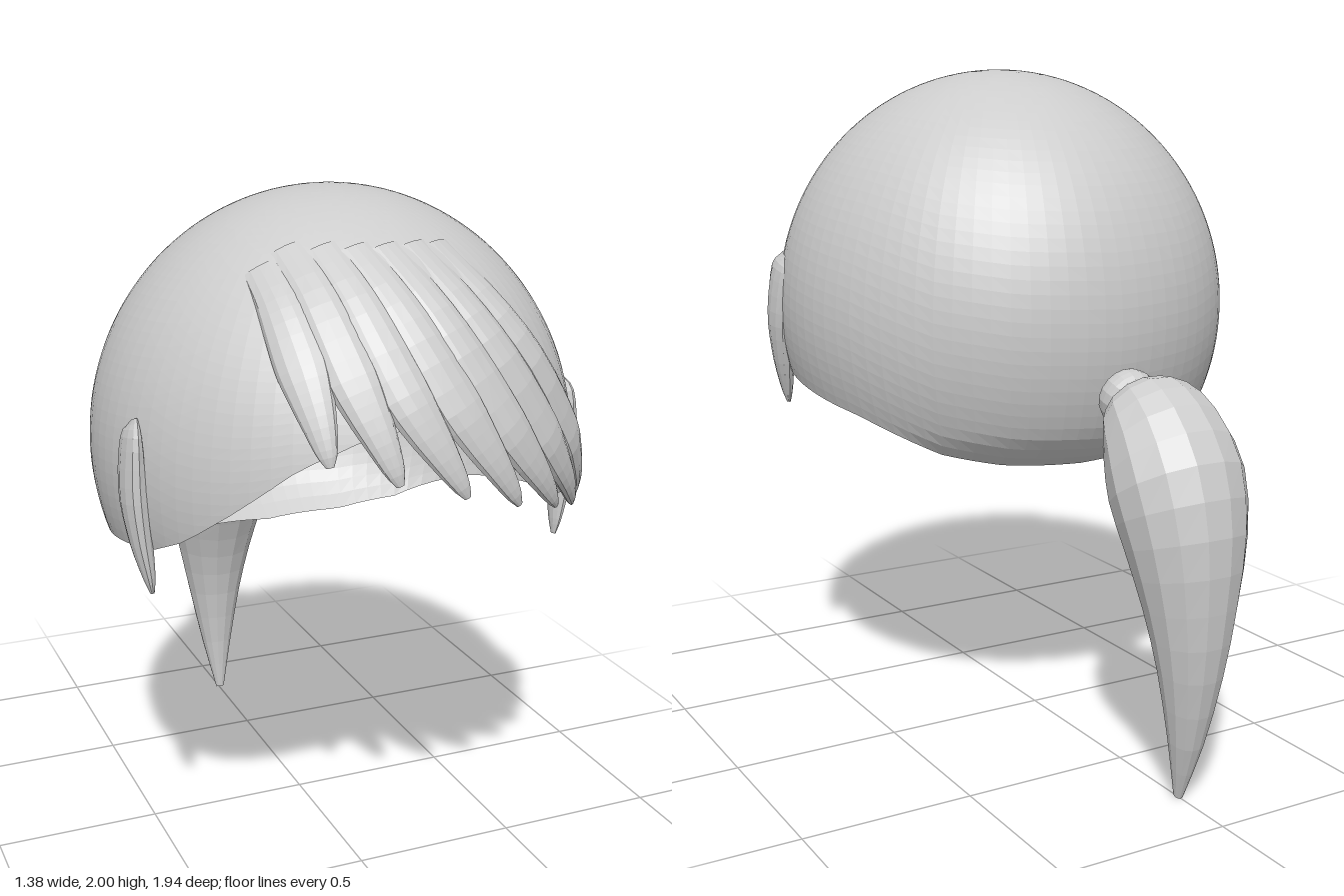
import * as THREE from 'three';

const V = (x, y, z) => new THREE.Vector3(x, y, z);
const hair = new THREE.MeshStandardMaterial({ color: 0xcccccc, side: THREE.DoubleSide, flatShading: true });
hair.name = 'hairGrey';

// Skull ellipsoid shared by the cap and the fringe
const C = V(0, 1.28, 0.225), R = V(0.69, 0.72, 0.715);

function gridGeometry(pos, index) {
  const g = new THREE.BufferGeometry();
  g.setAttribute('position', new THREE.Float32BufferAttribute(pos, 3));
  g.setIndex(index);
  g.computeVertexNormals();
  return g;
}

// Closed elliptical loft; each section is { c: centre, a: half width, b: half depth }
function loft(sections, rings, sides) {
  const curve = key => new THREE.CatmullRomCurve3(sections.map(s => s[key]), false, 'catmullrom', 0.5);
  const cc = curve('c'), ca = curve('a'), cb = curve('b');
  const pos = [], index = [];
  for (let i = 0; i <= rings; i++) {
    const c = cc.getPoint(i / rings), a = ca.getPoint(i / rings), b = cb.getPoint(i / rings);
    for (let j = 0; j < sides; j++) {
      const t = j / sides * Math.PI * 2;
      pos.push(...c.clone().addScaledVector(a, Math.cos(t)).addScaledVector(b, Math.sin(t)).toArray());
      if (i === rings) continue;
      const p = i * sides + j, q = i * sides + (j + 1) % sides;
      index.push(p, q, q + sides, p, q + sides, p + sides);
    }
  }
  const start = pos.length / 3, last = rings * sides;
  pos.push(...cc.getPoint(0).toArray(), ...cc.getPoint(1).toArray());
  for (let j = 0; j < sides; j++) {
    const k = (j + 1) % sides;
    index.push(start, k, j, start + 1, last + j, last + k);
  }
  return gridGeometry(pos, index);
}

// Section oriented by its direction of travel and outward normal
function section(c, dir, normal, width, depth) {
  const t = dir.clone().normalize();
  const n = normal.clone().addScaledVector(t, -normal.dot(t)).normalize();
  return { c, a: n.clone().cross(t).multiplyScalar(width), b: n.multiplyScalar(depth) };
}

// Height of the hem for an angle measured from the front round to the back
const HEM = [[0, 1.5], [0.29, 1.46], [0.52, 1.39], [0.79, 1.25], [1.0, 1.15], [1.2, 1.09], [1.6, 1.05],
  [1.93, 1.01], [2.12, 0.965], [2.36, 0.905], [2.7, 0.865], [Math.PI, 0.85]];
function hemHeight(angle) {
  let i = 0;
  while (i < HEM.length - 2 && angle > HEM[i + 1][0]) i++;
  const [a0, y0] = HEM[i], [a1, y1] = HEM[i + 1];
  return THREE.MathUtils.lerp(y0, y1, (angle - a0) / (a1 - a0));
}

function capGeometry() {
  const cols = 80, rows = 40, pos = [], index = [];
  for (let i = 0; i <= rows; i++) {
    for (let j = 0; j <= cols; j++) {
      const phi = (j / cols * 2 - 1) * Math.PI;
      const theta = Math.acos((hemHeight(Math.abs(phi)) - C.y) / R.y) * i / rows;
      const y = C.y + R.y * Math.cos(theta);
      let z = C.z + R.z * Math.sin(theta) * Math.cos(phi);
      if (z < 0) z += 4.5 * Math.max(0, 0.98 - y) ** 2; // nape tucks in
      pos.push(R.x * Math.sin(theta) * Math.sin(phi), y, z);
      if (i === rows || j === cols) continue;
      const p = i * (cols + 1) + j, q = p + cols + 1;
      index.push(p, q, q + 1);
      if (i > 0) index.push(p, q + 1, p + 1);
    }
  }
  return gridGeometry(pos, index);
}

// Point on the front of the skull and its normal
function onSkull(x, y) {
  const k = 1 - (x / R.x) ** 2 - ((y - C.y) / R.y) ** 2;
  return V(x, y, C.z + R.z * Math.sqrt(Math.max(0, k)));
}
const skullNormal = p => p.clone().sub(C).divide(R).divide(R).normalize();

// Fringe strand from root through the middle to the tip
function fringeStrand(root, mid, tip) {
  const path = new THREE.CatmullRomCurve3([root, mid, tip].map(p => V(p[0], p[1], 0)));
  const at = t => { const p = path.getPoint(t); return onSkull(p.x, p.y); };
  const t = [0, 0.15, 0.3, 0.5, 0.65, 0.8, 0.93, 1];
  const width = [0.05, 0.056, 0.064, 0.068, 0.058, 0.043, 0.027, 0.01];
  const depth = [0.012, 0.022, 0.028, 0.028, 0.025, 0.02, 0.014, 0.006];
  const lift = [-0.008, -0.004, 0, 0.006, 0.012, 0.02, 0.027, 0.03];
  return loft(t.map((s, i) => {
    const p = at(s), n = skullNormal(p);
    const dir = at(Math.min(1, s + 0.02)).sub(at(Math.max(0, s - 0.02)));
    return section(p.addScaledVector(n, lift[i]), dir, n, width[i], depth[i]);
  }), 18, 12);
}

// Side lock in front of the ear: x, y, z, half width, half thickness
function sideLock(side) {
  const rows = [[0.64, 1.432, 0.405, 0.045, 0.008], [0.652, 1.39, 0.425, 0.073, 0.024],
    [0.655, 1.25, 0.44, 0.069, 0.037], [0.645, 1.12, 0.458, 0.048, 0.031],
    [0.631, 1.02, 0.474, 0.027, 0.018], [0.624, 0.97, 0.48, 0.01, 0.006]];
  const pts = rows.map(r => V(side * r[0], r[1], r[2]));
  return loft(rows.map((r, i) => {
    const dir = pts[Math.min(i + 1, 5)].clone().sub(pts[Math.max(i - 1, 0)]);
    return section(pts[i], dir, V(side, 0, 0), r[3], r[4]);
  }), 16, 12);
}

// Ponytail: inner z, y, outer z, y, half width
function ponytail() {
  const rows = [[-0.53, 1.04, -0.565, 1.11, 0.06], [-0.535, 1.02, -0.6, 1.155, 0.095],
    [-0.57, 0.955, -0.68, 1.175, 0.15], [-0.59, 0.88, -0.8, 1.12, 0.18],
    [-0.61, 0.8, -0.915, 0.985, 0.195], [-0.655, 0.7, -0.965, 0.79, 0.172],
    [-0.71, 0.56, -0.958, 0.58, 0.132], [-0.75, 0.4, -0.93, 0.38, 0.093],
    [-0.775, 0.2, -0.875, 0.17, 0.052], [-0.782, 0.015, -0.808, 0.002, 0.014]];
  return loft(rows.map(([iz, iy, oz, oy, w]) => ({
    c: V(0, (iy + oy) / 2, (iz + oz) / 2), a: V(-w, 0, 0), b: V(0, (oy - iy) / 2, (oz - iz) / 2),
  })), 18, 14);
}

// Hair tie: a rounded puck tilted along the tail's root
function hairTie() {
  const axis = V(0, -0.3, -0.95).normalize();
  const rows = [[-0.045, 0.06], [-0.032, 0.08], [0, 0.087], [0.032, 0.08], [0.045, 0.06]];
  return loft(rows.map(([d, r]) =>
    section(V(0, 1.087, -0.524).addScaledVector(axis, d), axis, V(0, 1, 0), r, r)), 8, 18);
}

export function createModel() {
  const model = new THREE.Group();
  model.name = 'hairstyle';
  const add = (parent, name, geometry) => {
    const mesh = new THREE.Mesh(geometry, hair);
    mesh.name = name;
    parent.add(mesh);
  };
  add(model, 'hairCap', capGeometry());

  const fringe = new THREE.Group();
  fringe.name = 'fringe';
  model.add(fringe);
  const strands = [
    [[-0.325, 1.84], [-0.305, 1.63], [-0.272, 1.4]],
    [[-0.25, 1.885], [-0.2, 1.61], [-0.115, 1.352]],
    [[-0.17, 1.89], [-0.08, 1.57], [0.06, 1.305]],
    [[-0.09, 1.89], [0.06, 1.53], [0.225, 1.255]],
    [[-0.01, 1.89], [0.2, 1.47], [0.385, 1.205]],
    [[0.075, 1.89], [0.345, 1.42], [0.515, 1.155]],
    [[0.155, 1.885], [0.475, 1.39], [0.607, 1.11]],
  ];
  strands.forEach((s, i) => add(fringe, 'fringeStrand' + (i + 1), fringeStrand(...s)));

  add(model, 'leftSideLock', sideLock(1));
  add(model, 'rightSideLock', sideLock(-1));
  add(model, 'hairTie', hairTie());
  add(model, 'ponytail', ponytail());
  return model;
}
